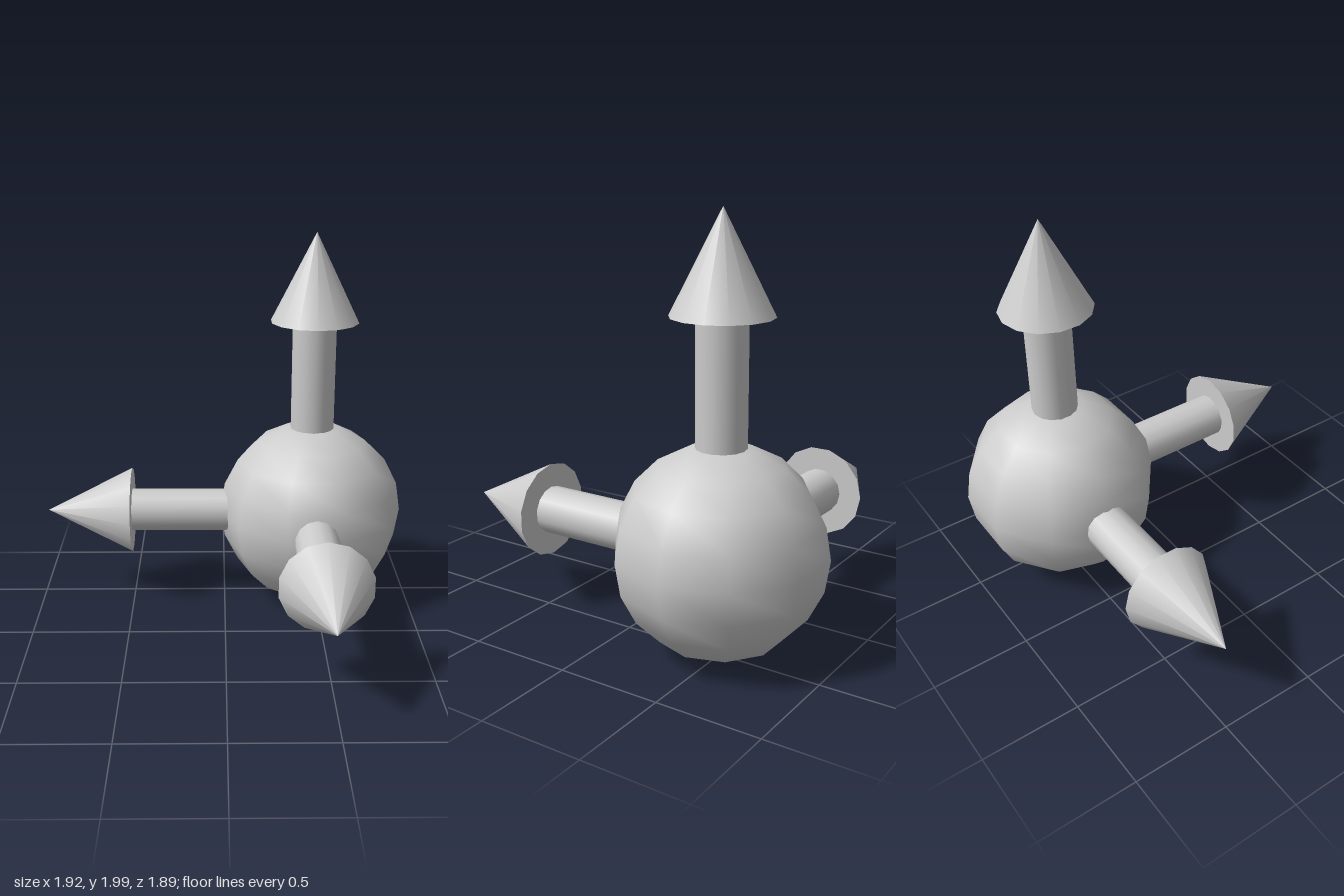
import * as THREE from 'three';

const material = new THREE.MeshStandardMaterial({ color: 0xcccccc });
const SIDES = 14;

// Arrow along +y from the ball's centre: shaft plus pointed head
function makeArrow(name, headBase) {
  const shaftStart = 0.4, headHeight = 0.458;
  const arrow = new THREE.Group();
  arrow.name = name;

  const shaftLength = headBase - shaftStart;
  const shaft = new THREE.Mesh(new THREE.CylinderGeometry(0.115, 0.115, shaftLength, SIDES), material);
  shaft.name = 'shaft';
  shaft.position.y = shaftStart + shaftLength / 2;

  const head = new THREE.Mesh(new THREE.ConeGeometry(0.23, headHeight, SIDES), material);
  head.name = 'arrowHead';
  head.position.y = headBase + headHeight / 2;

  arrow.add(shaft, head);
  return arrow;
}

export function createModel() {
  const model = new THREE.Group();
  model.name = 'axisMarker';

  // Everything is laid out around the ball's centre
  const hub = new THREE.Group();
  hub.name = 'hub';
  hub.position.set(0.467, 0.497, -0.482);
  model.add(hub);

  const ball = new THREE.Mesh(new THREE.SphereGeometry(0.49, 10, 10), material);
  ball.name = 'ball';
  hub.add(ball);

  // Three arrows at right angles; the upright one is slightly longer
  const upArrow = makeArrow('upArrow', 1.045);
  const rightArrow = makeArrow('rightArrow', 0.97);
  rightArrow.rotation.z = Math.PI / 2;
  const frontArrow = makeArrow('frontArrow', 0.97);
  frontArrow.rotation.x = Math.PI / 2;
  hub.add(upArrow, rightArrow, frontArrow);

  return model;
}
